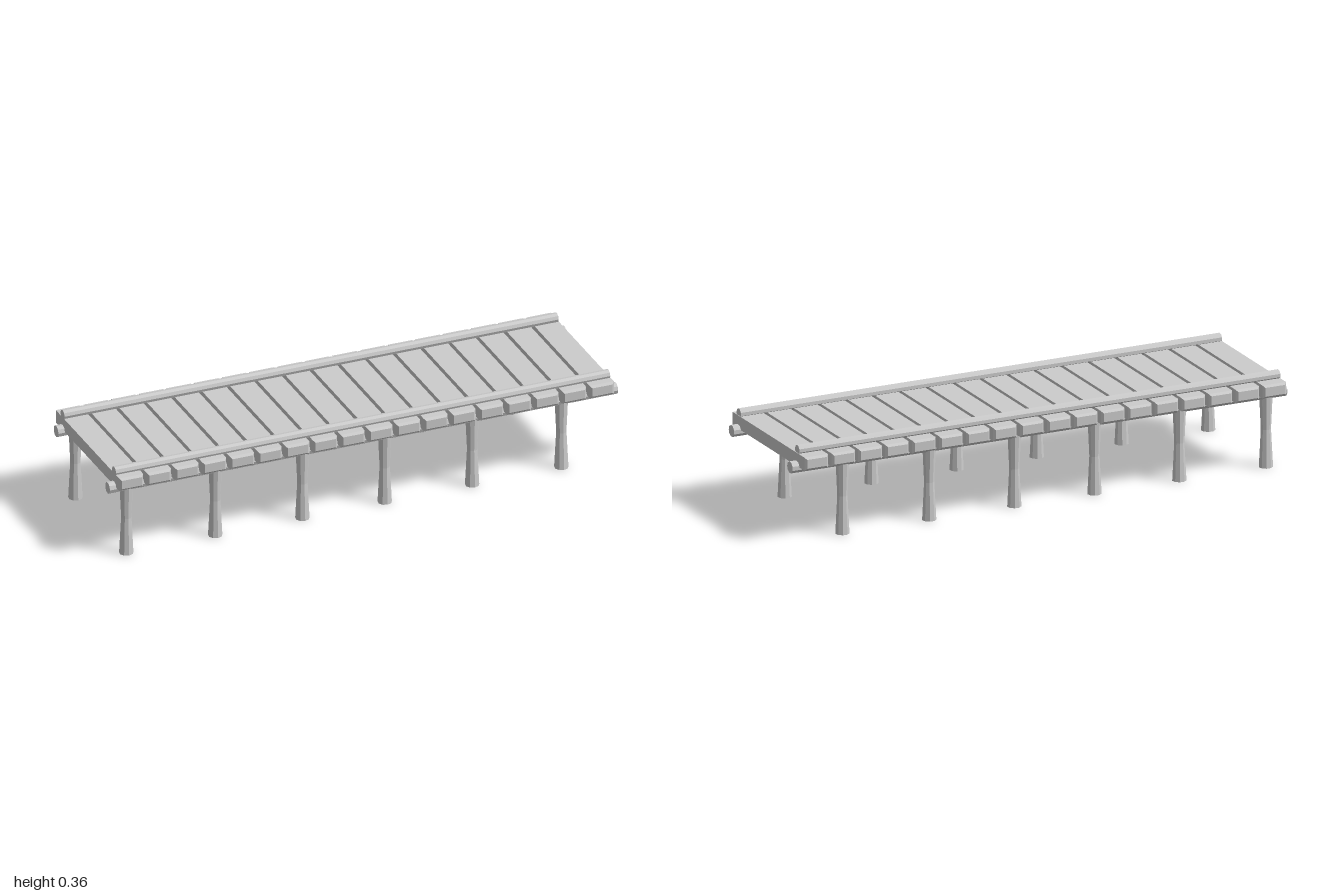
import * as THREE from 'three';

const wood = new THREE.MeshStandardMaterial({ color: 0xcccccc, flatShading: true });

function addMesh(parent, name, geometry, x, y, z) {
  const mesh = new THREE.Mesh(geometry, wood);
  mesh.name = name;
  mesh.position.set(x, y, z);
  parent.add(mesh);
  return mesh;
}

// Box with chamfered edges, centred on the origin
function chamferedBox(w, h, d, c) {
  const x = w / 2 - c, y = h / 2 - c;
  const shape = new THREE.Shape([
    new THREE.Vector2(-x, -y), new THREE.Vector2(x, -y),
    new THREE.Vector2(x, y), new THREE.Vector2(-x, y),
  ]);
  const geometry = new THREE.ExtrudeGeometry(shape, {
    depth: d - 2 * c, bevelEnabled: true, bevelSize: c, bevelThickness: c, bevelSegments: 1,
  });
  return geometry.translate(0, 0, -d / 2 + c);
}

// Round pole lying along x
function pole(radius, length) {
  return new THREE.CylinderGeometry(radius, radius, length, 9).rotateZ(Math.PI / 2);
}

export function createModel() {
  const model = new THREE.Group();
  model.name = 'boardwalk';

  // Deck planks, laid crosswise with narrow gaps
  const deck = new THREE.Group();
  deck.name = 'deck';
  model.add(deck);
  const plank = chamferedBox(0.095, 0.05, 0.6, 0.008);
  const count = 18;
  for (let i = 0; i < count; i++) {
    addMesh(deck, 'plank', plank, -0.927 + i * (1.852 / (count - 1)), 0.31, 0);
  }

  // Posts, slimmer at mid height, with closed ends
  const postProfile = [
    [0, 0], [0.0265, 0], [0.019, 0.145], [0.0255, 0.285], [0, 0.285],
  ].map(([r, y]) => new THREE.Vector2(r, y));
  const post = new THREE.LatheGeometry(postProfile, 9);
  const postX = [-0.925, -0.575, -0.232, 0.092, 0.436, 0.787];

  // Each side has a kerb rail, a support beam and a row of posts
  const rail = pole(0.0185, 1.945);
  const beam = pole(0.0225, 2);
  const sides = [
    { name: 'front', z: 0.246, lift: 0 },
    { name: 'back', z: -0.23, lift: 0.003 },
  ];
  for (const { name, z, lift } of sides) {
    addMesh(model, name + 'Rail', rail, -0.002, 0.343 + lift, z);
    addMesh(model, name + 'Beam', beam, 0, 0.28 + lift, z);
    const posts = new THREE.Group();
    posts.name = name + 'Posts';
    model.add(posts);
    for (const x of postX) addMesh(posts, 'post', post, x, 0, z - Math.sign(z) * 0.003);
  }

  return model;
}
